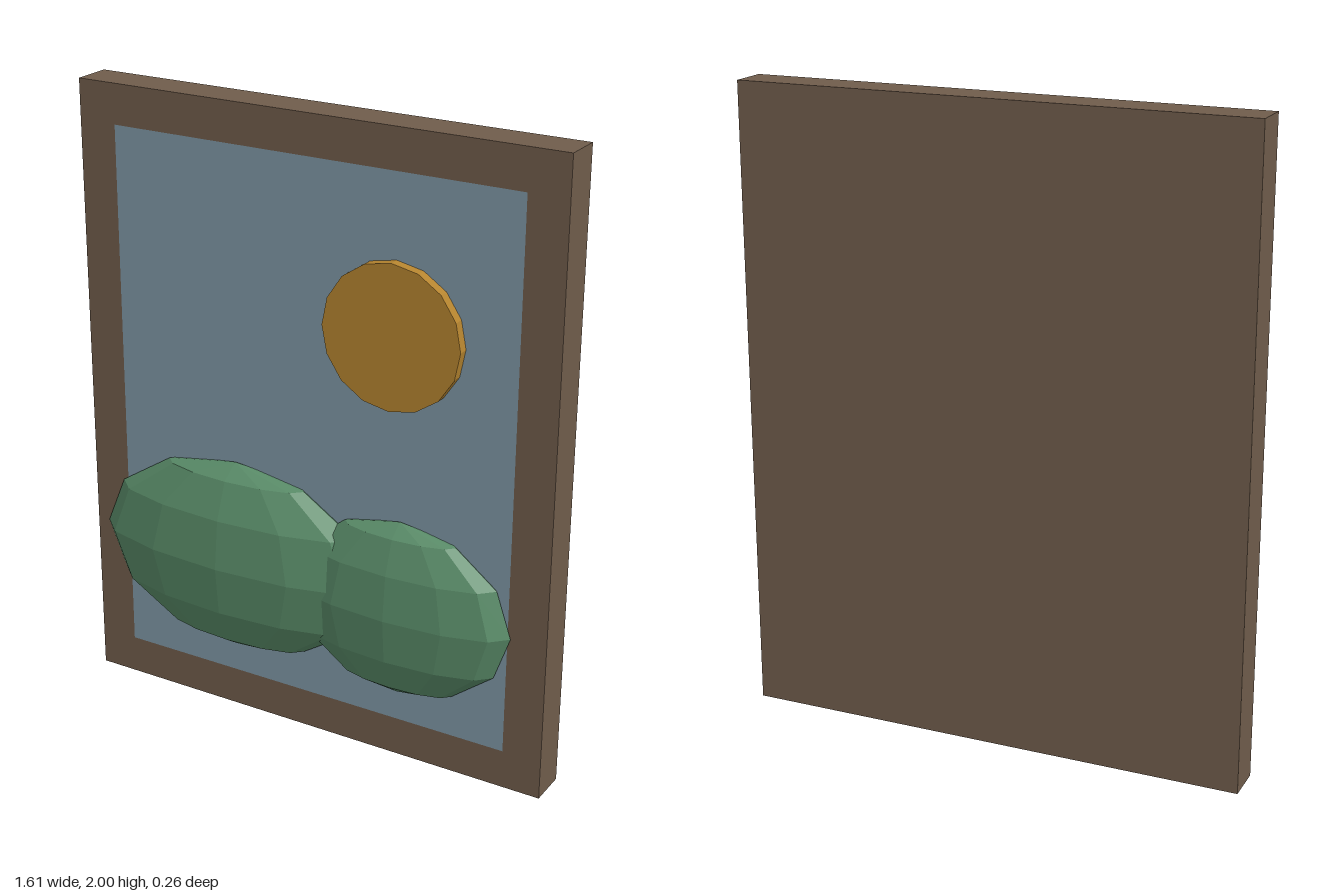
import * as THREE from 'three';

const FRONT = -0.006; // z of the board's front face

function addPart(group, name, geometry, color, x, y, z) {
  const material = new THREE.MeshStandardMaterial({ color, flatShading: true });
  const mesh = new THREE.Mesh(geometry, material);
  mesh.name = name;
  mesh.position.set(x, y, z);
  group.add(mesh);
  return mesh;
}

export function createModel() {
  const group = new THREE.Group();
  group.name = 'reliefPicture';

  // Wooden backing board whose border reads as the frame
  addPart(group, 'frame', new THREE.BoxGeometry(1.612, 2, 0.125), 0x6f5c4b, 0, 1, FRONT - 0.0625);

  // Sky panel, a hair in front of the board
  addPart(group, 'sky', new THREE.PlaneGeometry(1.36, 1.748), 0x7e96a4, 0, 1, FRONT + 0.001);

  // Sun disc facing forward, with a vertex at the top
  const disc = new THREE.CylinderGeometry(0.226, 0.226, 0.034, 16).rotateX(Math.PI / 2);
  addPart(group, 'sun', disc, 0xb5842f, 0.287, 1.39, FRONT + 0.017);

  // Low-poly hills: flattened spheres half sunk into the board
  const hills = [
    { name: 'leftHill', x: -0.26, y: 0.55, size: [0.495, 0.32, 0.125] },
    { name: 'rightHill', x: 0.32, y: 0.52, size: [0.375, 0.29, 0.1] },
  ];
  for (const { name, x, y, size } of hills) {
    const hill = new THREE.SphereGeometry(1, 12, 6).scale(...size);
    addPart(group, name, hill, 0x588a67, x, y, 0.006);
  }

  return group;
}
